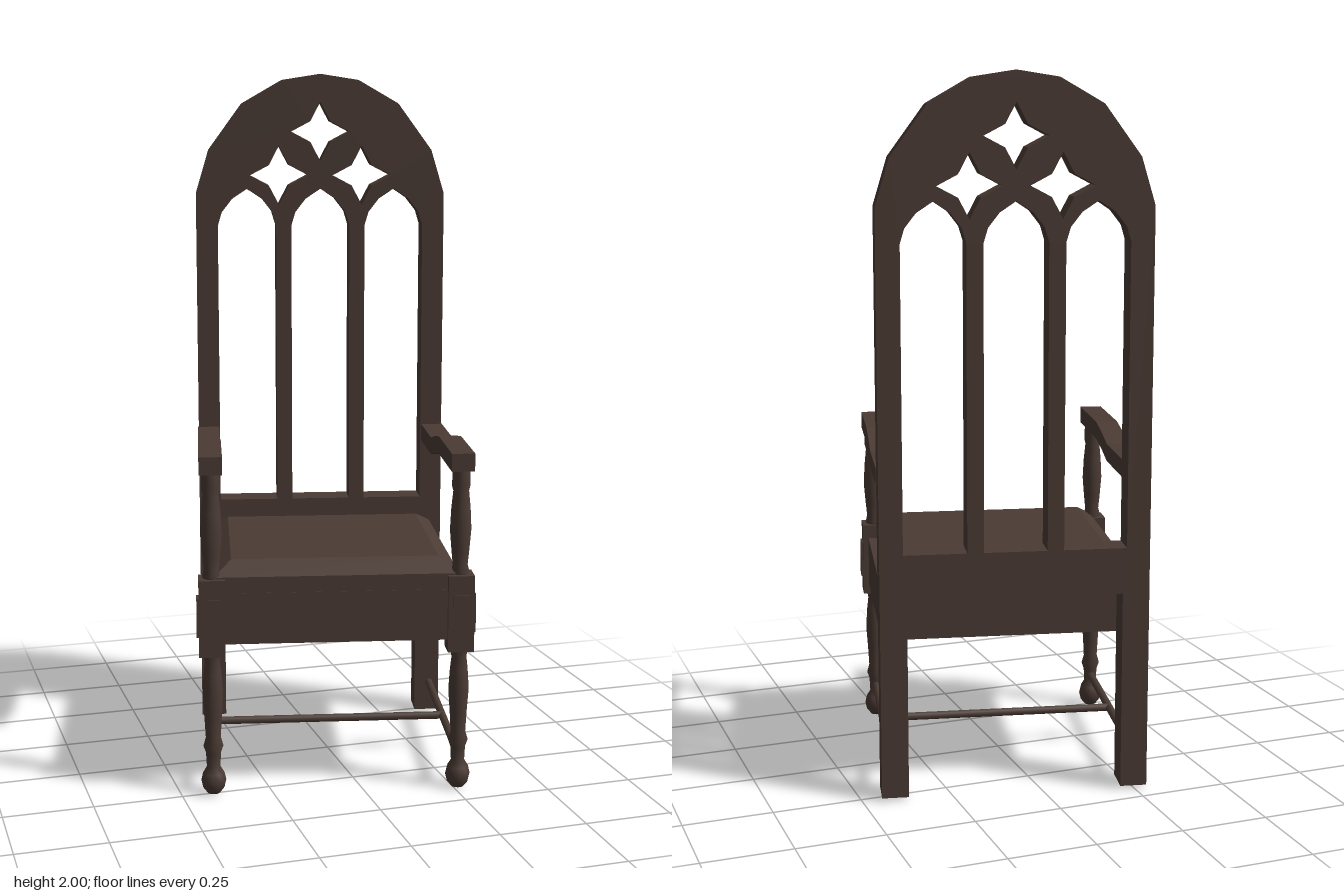
import * as THREE from 'three';

const wood = new THREE.MeshStandardMaterial({ color: 0x4b3b34 });
wood.name = 'dark wood';

function add(parent, name, geometry, x = 0, y = 0, z = 0) {
  const mesh = new THREE.Mesh(geometry, wood);
  mesh.name = name;
  mesh.position.set(x, y, z);
  parent.add(mesh);
  return mesh;
}

const vec = (pts) => pts.map(([x, y]) => new THREE.Vector2(x, y));
const mirrored = (pts) => pts.slice().reverse().map(([x, y]) => [-x, y]);

// Pointed window opening
function lancet(cx) {
  const side = [[0.088, 0.705], [0.088, 1.55], [0.076, 1.59], [0.045, 1.63], [0, 1.66]];
  const all = [...side, ...mirrored(side).slice(1)];
  return new THREE.Path(vec(all.map(([x, y]) => [x + cx, y])));
}

// Four-pointed star opening
function star(cx, cy) {
  const pts = [];
  for (let i = 0; i < 8; i++) {
    const r = i % 2 ? 0.043 : 0.088, a = (i * Math.PI) / 4;
    pts.push([cx + r * Math.cos(a), cy + r * Math.sin(a)]);
  }
  return new THREE.Path(vec(pts));
}

// Arched back with its two legs, pierced by tracery
function backGeometry() {
  const half = [[0.3, 0.575], [0.3, 0.01], [0.375, 0.01], [0.375, 1.645], [0.336, 1.775],
    [0.235, 1.913], [0.115, 1.982], [0, 2]];
  const shape = new THREE.Shape(vec([...half, ...mirrored(half).slice(1)]));
  shape.holes.push(lancet(-0.222), lancet(0), lancet(0.222));
  shape.holes.push(star(-0.125, 1.7), star(0.125, 1.7), star(0, 1.83));
  return new THREE.ExtrudeGeometry(shape, { depth: 0.087, bevelEnabled: false });
}

// Stack of rectangular cross-sections [halfWidth, zBack, zFront, y], closed at both ends
function rectLoft(rings) {
  const pos = [];
  const corners = rings.map(([w, b, f, y]) => [[-w, y, f], [w, y, f], [w, y, b], [-w, y, b]]);
  const quad = (a, b, c, d) => pos.push(...a, ...b, ...c, ...a, ...c, ...d);
  for (let i = 0; i < rings.length - 1; i++) {
    for (let k = 0; k < 4; k++) {
      const n = (k + 1) % 4;
      quad(corners[i][k], corners[i][n], corners[i + 1][n], corners[i + 1][k]);
    }
  }
  const t = corners[rings.length - 1], u = corners[0];
  quad(t[0], t[1], t[2], t[3]);
  quad(u[3], u[2], u[1], u[0]);
  const g = new THREE.BufferGeometry();
  g.setAttribute('position', new THREE.Float32BufferAttribute(pos, 3));
  g.computeVertexNormals();
  return g;
}

// Arm outline in the side plane, extruded across its width
function armGeometry() {
  const top = [[0.37, 0.97], [0.11, 0.97], [0.02, 0.955], [-0.06, 0.935], [-0.3, 0.935]];
  const bottom = top.slice().reverse().map(([z, y]) => [z, y - 0.05]);
  const shape = new THREE.Shape(vec([...top, ...bottom].map(([z, y]) => [-z, y])));
  const g = new THREE.ExtrudeGeometry(shape, { depth: 0.064, bevelEnabled: false });
  g.translate(0, 0, -0.032);
  g.rotateY(Math.PI / 2);
  return g;
}

export function createModel() {
  const root = new THREE.Group();
  root.name = 'archedArmchair';
  const chair = new THREE.Group();
  chair.name = 'chair';
  chair.rotation.y = -0.222;
  root.add(chair);

  add(chair, 'archedBack', backGeometry(), 0, 0, -0.377);

  // Seat frame and bevelled seat
  add(chair, 'seatApron', new THREE.BoxGeometry(0.73, 0.145, 0.645), 0, 0.5125, 0.0325);
  add(chair, 'seatPanel', rectLoft([
    [0.34, -0.3, 0.354, 0.58], [0.34, -0.3, 0.354, 0.63], [0.29, -0.227, 0.29, 0.665],
  ]));

  // Turned profiles: radius, height
  const upper = vec([[0.022, 0.62], [0.026, 0.63], [0.021, 0.65], [0.025, 0.69], [0.03, 0.75],
    [0.027, 0.81], [0.022, 0.86], [0.026, 0.875], [0.024, 0.92]]);
  const lower = vec([[0, 0], [0.018, 0.003], [0.03, 0.018], [0.035, 0.04], [0.03, 0.062],
    [0.019, 0.08], [0.021, 0.12], [0.028, 0.14], [0.021, 0.165], [0.024, 0.22], [0.029, 0.29],
    [0.025, 0.35], [0.021, 0.385], [0.026, 0.41]]);

  for (const s of [-1, 1]) {
    const side = s > 0 ? 'left' : 'right';
    const x = s * 0.345, z = 0.333;
    // Front post: block with raised panels between two turnings
    add(chair, side + 'PostBlock', new THREE.BoxGeometry(0.073, 0.218, 0.073), x, 0.516, z);
    add(chair, side + 'PostSidePanel', new THREE.BoxGeometry(0.008, 0.11, 0.045), s * 0.3835, 0.515, z);
    add(chair, side + 'PostFrontPanel', new THREE.BoxGeometry(0.045, 0.11, 0.006), x, 0.515, 0.37);
    add(chair, side + 'ArmPost', new THREE.LatheGeometry(upper, 12), x, 0, z);
    add(chair, side + 'FrontLeg', new THREE.LatheGeometry(lower, 12), x, 0, z);
    add(chair, side + 'Arm', armGeometry(), x, 0, 0);
    // Stretcher from front leg to back leg
    const rail = add(chair, side + 'Stretcher', new THREE.CylinderGeometry(0.012, 0.012, 0.64, 8), x, 0.1, 0.015);
    rail.rotation.x = Math.PI / 2;
  }

  // Stretcher joining the two sides
  const cross = add(chair, 'crossStretcher', new THREE.CylinderGeometry(0.012, 0.012, 0.69, 8), 0, 0.1, 0.02);
  cross.rotation.z = Math.PI / 2;

  return root;
}
